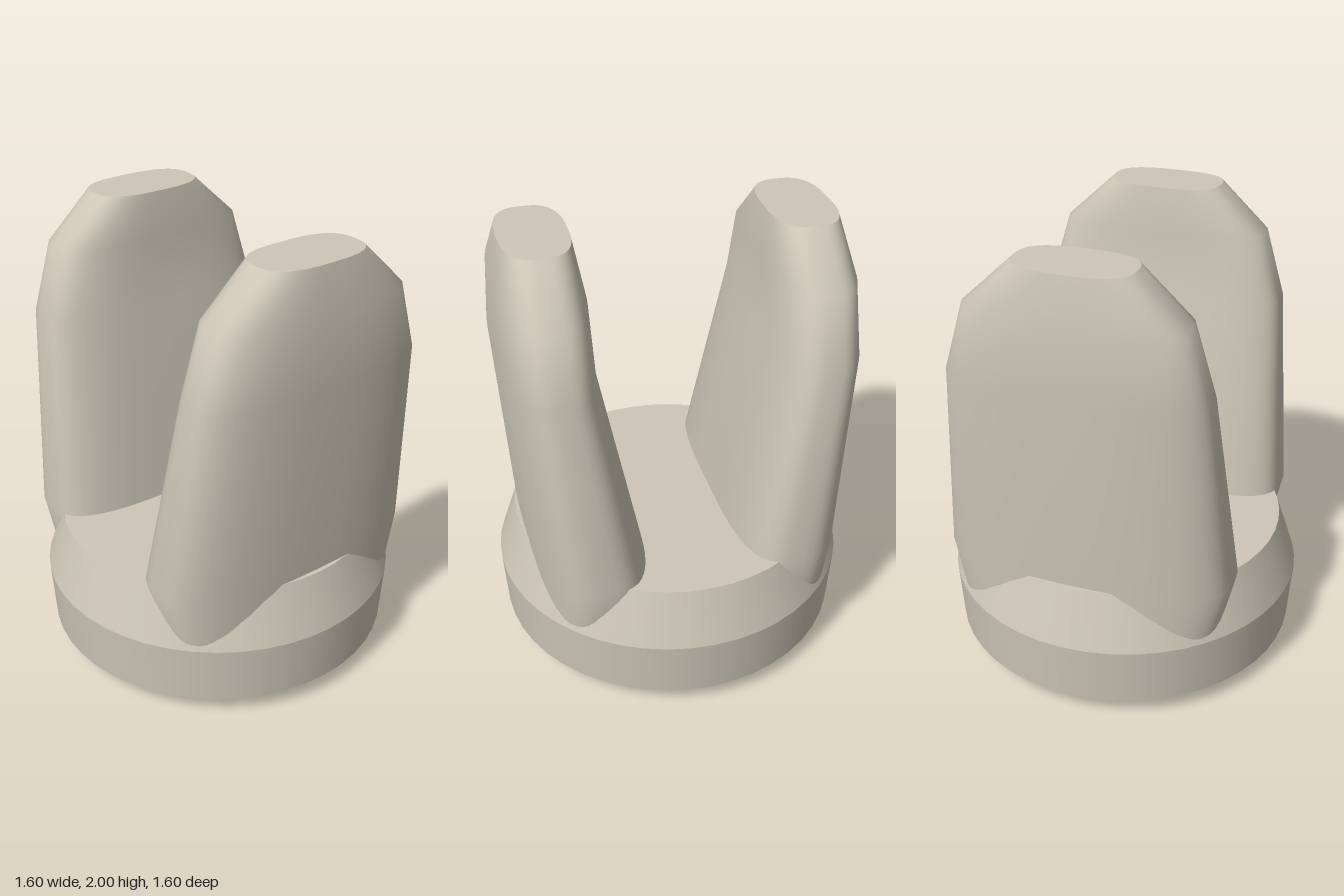
import * as THREE from 'three';
import { mergeGeometries } from 'three/addons/utils/BufferGeometryUtils.js';

const SEGMENTS = 64;

// Rounded cross-section: flatter on the inner side, rounder on the outer side
function ring({ y, w, zIn, zOut, nIn, nOut }) {
  const points = [];
  const mid = (zIn + zOut) / 2, depth = (zOut - zIn) / 2;
  for (let i = 0; i < SEGMENTS; i++) {
    const t = (i / SEGMENTS) * Math.PI * 2;
    const c = Math.cos(t), s = Math.sin(t);
    const p = 2 / (s > 0 ? nOut : nIn);
    points.push(
      w * Math.sign(c) * Math.abs(c) ** p,
      y,
      mid + depth * Math.sign(s) * Math.abs(s) ** p
    );
  }
  return points;
}

function makeGeometry(positions, index) {
  const g = new THREE.BufferGeometry();
  g.setAttribute('position', new THREE.Float32BufferAttribute(positions, 3));
  g.setIndex(index);
  g.computeVertexNormals();
  return g;
}

// Smooth skin through the sections, closed by a flat top
function loft(sections) {
  const rings = sections.map(ring);
  const skin = [];
  for (let r = 0; r < rings.length - 1; r++) {
    for (let i = 0; i < SEGMENTS; i++) {
      const j = (i + 1) % SEGMENTS;
      const a = r * SEGMENTS + i, b = r * SEGMENTS + j;
      skin.push(a, a + SEGMENTS, b, b, a + SEGMENTS, b + SEGMENTS);
    }
  }
  const top = sections[sections.length - 1];
  const cap = [];
  for (let i = 0; i < SEGMENTS; i++) cap.push(SEGMENTS, (i + 1) % SEGMENTS, i);
  const capPoints = [...rings[rings.length - 1], 0, top.y, (top.zIn + top.zOut) / 2];
  return mergeGeometries([makeGeometry(rings.flat(), skin), makeGeometry(capPoints, cap)]);
}

export function createModel() {
  const model = new THREE.Group();
  const stone = new THREE.MeshStandardMaterial({ color: 0xcdc6b7 });
  stone.name = 'warm grey';

  // Round base: stacked bands with crisp edges between them
  const profile = [[0.68, 0], [0.783, 0.09], [0.8, 0.36], [0.715, 0.61]];
  const base = new THREE.Group();
  base.name = 'base';
  const bandNames = ['bottomChamfer', 'baseWall', 'topChamfer'];
  bandNames.forEach((name, i) => {
    const [r0, y0] = profile[i], [r1, y1] = profile[i + 1];
    const band = new THREE.Mesh(new THREE.CylinderGeometry(r1, r0, y1 - y0, 48, 1, true), stone);
    band.position.y = (y0 + y1) / 2;
    band.name = name;
    base.add(band);
  });
  for (const [name, radius, y, turn] of [['deck', 0.715, 0.61, -1], ['underside', 0.68, 0, 1]]) {
    const disc = new THREE.Mesh(new THREE.CircleGeometry(radius, 48), stone);
    disc.rotation.x = turn * Math.PI / 2;
    disc.rotation.z = Math.PI / 2;
    disc.position.y = y;
    disc.name = name;
    base.add(disc);
  }
  model.add(base);

  // Two upright prongs facing each other, tapering towards the top
  const prongGeometry = loft([
    { y: 0.3, w: 0.58, zIn: 0.22, zOut: 0.68, nIn: 3.2, nOut: 2.5 },
    { y: 0.61, w: 0.643, zIn: 0.197, zOut: 0.695, nIn: 3.5, nOut: 2.5 },
    { y: 1.5, w: 0.555, zIn: 0.37, zOut: 0.75, nIn: 3.2, nOut: 2.6 },
    { y: 1.8, w: 0.465, zIn: 0.38, zOut: 0.735, nIn: 3, nOut: 2.7 },
    { y: 2, w: 0.25, zIn: 0.41, zOut: 0.697, nIn: 2.8, nOut: 2.8 },
  ]);
  ['frontProng', 'backProng'].forEach((name, i) => {
    const prong = new THREE.Mesh(prongGeometry, stone);
    prong.rotation.y = i * Math.PI;
    prong.name = name;
    model.add(prong);
  });

  return model;
}
